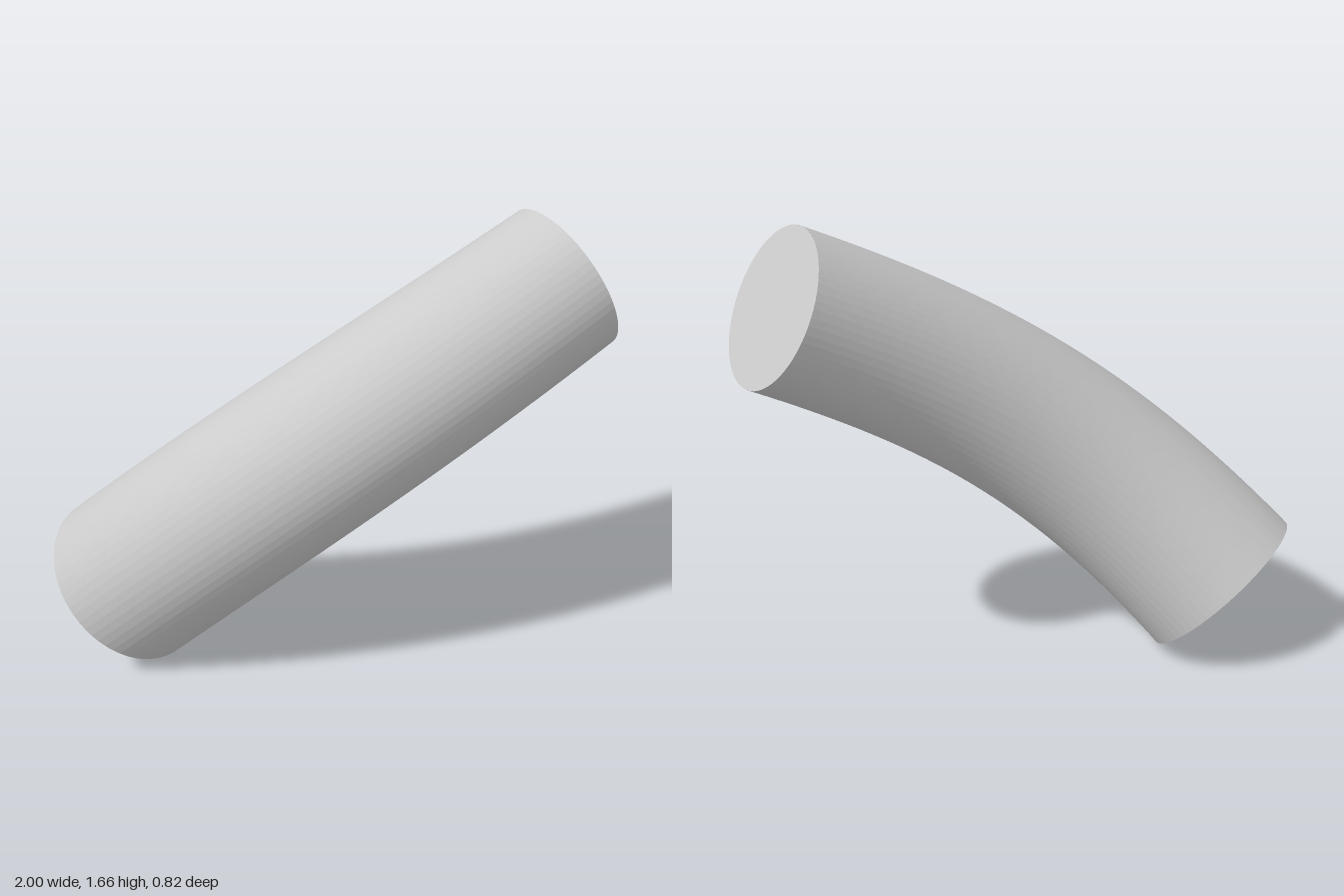
import * as THREE from 'three';

const SIDES = 64, STEPS = 64;
const R_LOW = 0.332, R_TOP = 0.281;

export function createModel() {
  const group = new THREE.Group();
  group.name = 'bentTube';
  const material = new THREE.MeshStandardMaterial({
    color: 0xcccccc, flatShading: true, side: THREE.DoubleSide,
  });

  // Centre line: a gentle bend between the open lower end and the closed upper end
  const start = new THREE.Vector3(-0.742, 0.24, -0.105);
  const end = new THREE.Vector3(0.845, 1.403, -0.095);
  const startDir = new THREE.Vector3(0.63, 0.69, 0.36).normalize();
  const endDir = new THREE.Vector3(0.835, 0.44, -0.33).normalize();
  const handle = 0.77;
  const path = new THREE.CubicBezierCurve3(
    start,
    start.clone().addScaledVector(startDir, handle),
    end.clone().addScaledVector(endDir, -handle),
    end,
  );

  // Wall: a unit tube whose rings are scaled to taper towards the top
  const wallGeometry = new THREE.TubeGeometry(path, STEPS, 1, SIDES, false);
  const pos = wallGeometry.attributes.position;
  const v = new THREE.Vector3();
  for (let i = 0; i <= STEPS; i++) {
    const t = i / STEPS;
    const centre = path.getPointAt(t);
    const radius = THREE.MathUtils.lerp(R_LOW, R_TOP, t);
    for (let j = 0; j <= SIDES; j++) {
      const k = i * (SIDES + 1) + j;
      v.fromBufferAttribute(pos, k).sub(centre).multiplyScalar(radius).add(centre);
      pos.setXYZ(k, v.x, v.y, v.z);
    }
  }
  wallGeometry.computeVertexNormals();
  const wall = new THREE.Mesh(wallGeometry, material);
  wall.name = 'tubeWall';
  group.add(wall);

  // Flat cap on the upper end
  const cap = new THREE.Mesh(new THREE.CircleGeometry(R_TOP, SIDES), material);
  cap.name = 'upperCap';
  cap.position.copy(end);
  cap.quaternion.setFromUnitVectors(new THREE.Vector3(0, 0, 1), endDir);
  group.add(cap);

  return group;
}
